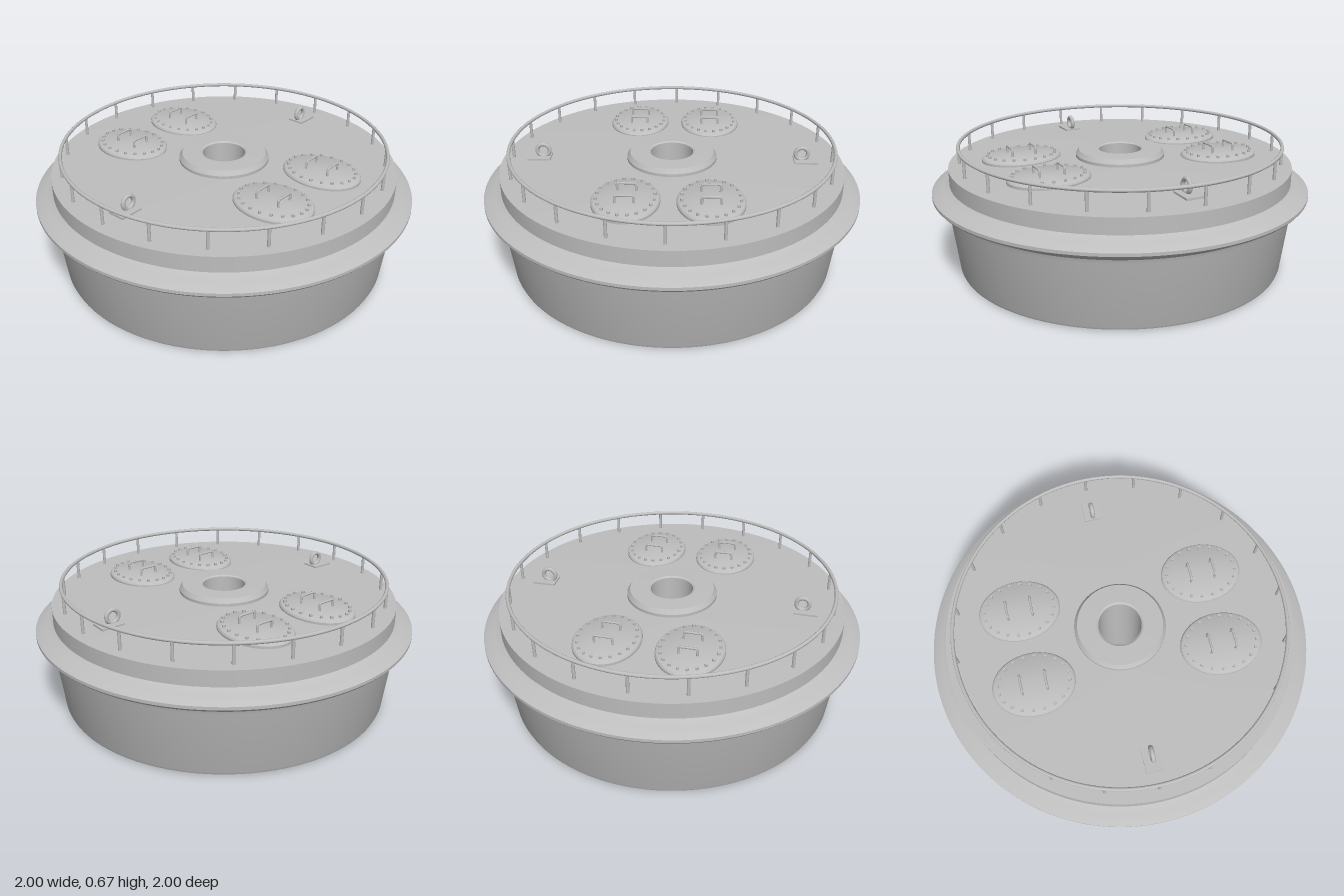
import * as THREE from 'three';
import { toCreasedNormals } from 'three/addons/utils/BufferGeometryUtils.js';

const steel = new THREE.MeshStandardMaterial({ color: 0xbebebe });
steel.name = 'grey steel';

function add(parent, name, geometry, x = 0, y = 0, z = 0) {
  const mesh = new THREE.Mesh(geometry, steel);
  mesh.name = name;
  mesh.position.set(x, y, z);
  parent.add(mesh);
  return mesh;
}

// Turned part with sharp edges kept where the profile bends strongly
function turned(points, segments = 96) {
  const profile = points.map(([r, y]) => new THREE.Vector2(r, y));
  return toCreasedNormals(new THREE.LatheGeometry(profile, segments), 0.4);
}

// Inverted U of bar stock, feet at y = 0
function handleGeometry(width, height, radius) {
  const w = width / 2, b = 0.012;
  const path = new THREE.CurvePath();
  const v = (x, y) => new THREE.Vector3(x, y, 0);
  path.add(new THREE.LineCurve3(v(-w, 0), v(-w, height - b)));
  path.add(new THREE.QuadraticBezierCurve3(v(-w, height - b), v(-w, height), v(-w + b, height)));
  path.add(new THREE.LineCurve3(v(-w + b, height), v(w - b, height)));
  path.add(new THREE.QuadraticBezierCurve3(v(w - b, height), v(w, height), v(w, height - b)));
  path.add(new THREE.LineCurve3(v(w, height - b), v(w, 0)));
  return new THREE.TubeGeometry(path, 40, radius, 8);
}

// Oval bolted hatch with two grab handles
function makeHatch(x, z) {
  const hatch = new THREE.Group();
  hatch.name = 'hatch';
  hatch.position.set(x, 0.565, z);
  const rx = 0.167, rz = 0.213;
  const cover = turned([[1, 0], [1, 0.014], [0.97, 0.022], [0.9, 0.028], [0, 0.032]], 48);
  cover.scale(rx, 1, rz);
  cover.computeVertexNormals();
  add(hatch, 'hatchCover', toCreasedNormals(cover, 0.5));
  const bolt = new THREE.CylinderGeometry(0.008, 0.008, 0.014, 8);
  for (let i = 0; i < 20; i++) {
    const a = ((i + 0.5) / 20) * Math.PI * 2;
    add(hatch, 'hatchBolt', bolt, Math.cos(a) * rx * 0.85, 0.033, Math.sin(a) * rz * 0.86);
  }
  const handle = handleGeometry(0.092, 0.042, 0.006);
  for (const s of [-1, 1]) add(hatch, 'hatchHandle', handle, 0, 0.027, s * 0.064);
  return hatch;
}

export function createModel() {
  const model = new THREE.Group();
  model.name = 'buoyHull';

  // Hull, flared fender, deck and central shaft in one closed profile
  add(model, 'hull', turned([
    [0.112, 0], [0.865, 0], [0.876, 0.006], [0.882, 0.02], [0.921, 0.35],
    [0.928, 0.373], [0.945, 0.39], [0.972, 0.401], [0.99, 0.408], [1, 0.42],
    [1, 0.436], [0.985, 0.446], [0.945, 0.462], [0.922, 0.47], [0.908, 0.48],
    [0.908, 0.562], [0.22, 0.577], [0.112, 0.577], [0.112, 0],
  ], 128));

  // Raised collar around the shaft
  add(model, 'shaftCollar', turned([
    [0.112, 0.565], [0.238, 0.565], [0.238, 0.592], [0.222, 0.616],
    [0.122, 0.618], [0.112, 0.612], [0.112, 0.565],
  ].map(([r, y]) => [r, y]), 64));

  // Hatches
  for (const x of [-0.205, 0.205]) {
    for (const z of [-0.493, 0.487]) model.add(makeHatch(x, z));
  }

  // Guard rail and posts
  const rail = new THREE.TorusGeometry(0.852, 0.0095, 10, 128);
  rail.rotateX(Math.PI / 2);
  add(model, 'guardRail', rail, 0, 0.663, 0);
  const post = new THREE.CylinderGeometry(0.008, 0.008, 0.1, 10);
  for (let i = 0; i < 20; i++) {
    const a = (i / 20) * Math.PI * 2;
    add(model, 'railPost', post, Math.sin(a) * 0.852, 0.612, Math.cos(a) * 0.852);
  }

  // Lifting eyes on base plates
  for (const s of [-1, 1]) {
    const eye = new THREE.Group();
    eye.name = 'liftingEye';
    add(eye, 'eyePlate', new THREE.BoxGeometry(0.122, 0.014, 0.092), s * 0.711, 0.569, 0);
    add(eye, 'eyeRing', new THREE.TorusGeometry(0.033, 0.011, 12, 32), s * 0.69, 0.608, 0);
    model.add(eye);
  }
  return model;
}
